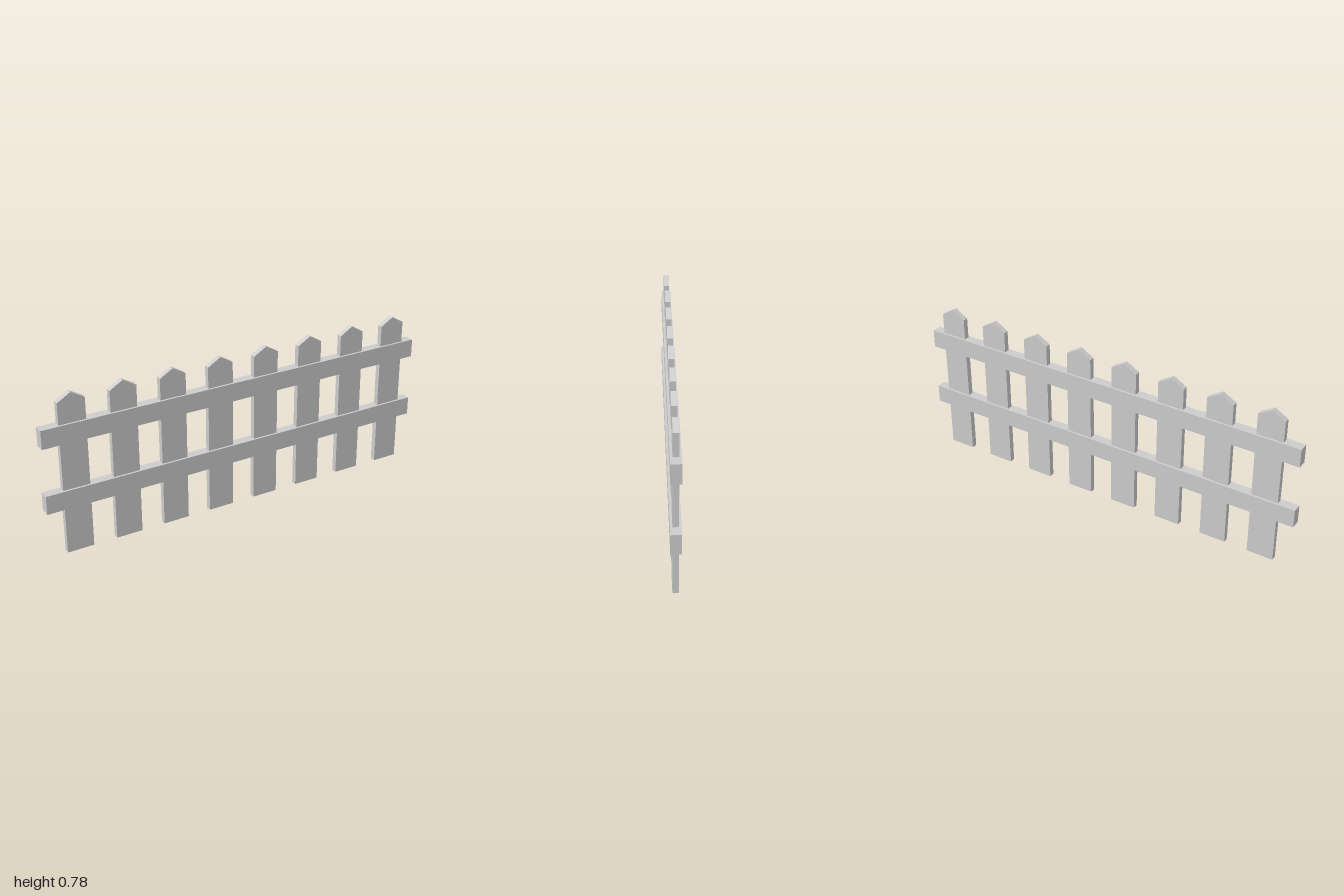
import * as THREE from 'three';

export function createModel() {
  const fence = new THREE.Group();
  fence.name = 'picketFence';
  const paint = new THREE.MeshStandardMaterial({ color: 0xcccccc });
  paint.name = 'light grey paint';

  // Pointed picket profile, extruded and centred in z
  const halfWidth = 0.065, thickness = 0.027;
  const profile = new THREE.Shape([
    [-halfWidth, 0], [halfWidth, 0], [halfWidth, 0.742], [0, 0.78], [-halfWidth, 0.742],
  ].map(([x, y]) => new THREE.Vector2(x, y)));
  const picketGeometry = new THREE.ExtrudeGeometry(profile, { depth: thickness, bevelEnabled: false });
  picketGeometry.translate(0, 0, -thickness / 2);

  // Row of eight pickets, set slightly towards +x
  for (let i = 0; i < 8; i++) {
    const picket = new THREE.Mesh(picketGeometry, paint);
    picket.name = `picket${i + 1}`;
    picket.position.x = -0.848 + i * 0.246;
    fence.add(picket);
  }

  // Two thicker rails running the full length
  const railGeometry = new THREE.BoxGeometry(2, 0.09, 0.048);
  for (const [name, y] of [['lowerRail', 0.273], ['upperRail', 0.593]]) {
    const rail = new THREE.Mesh(railGeometry, paint);
    rail.name = name;
    rail.position.y = y;
    fence.add(rail);
  }
  return fence;
}
